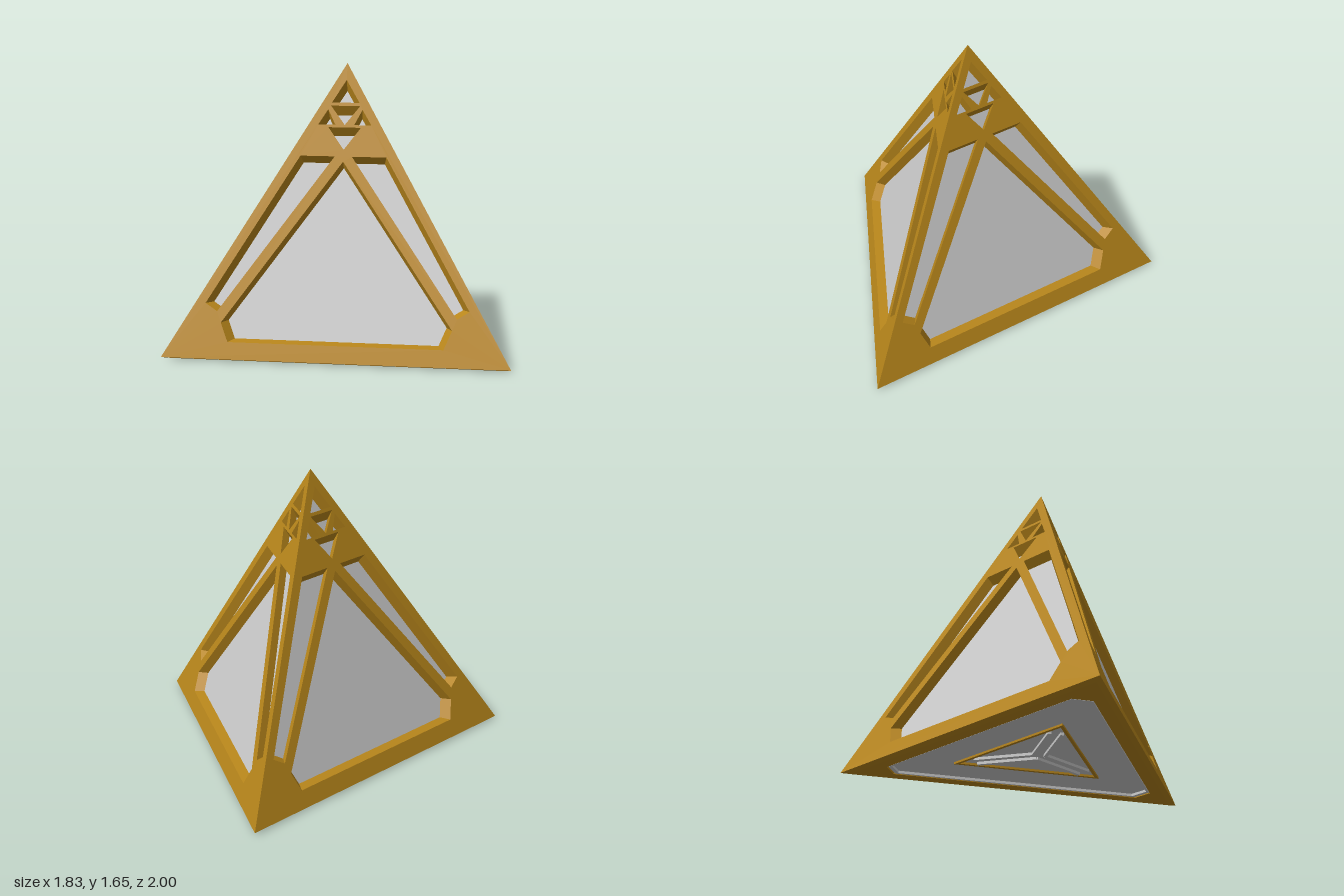
import * as THREE from 'three';
import { ConvexGeometry } from 'three/addons/geometries/ConvexGeometry.js';

const EDGE = 2.009;
const R = EDGE / Math.sqrt(3), H = EDGE * Math.sqrt(2 / 3), SLANT = (EDGE * Math.sqrt(3)) / 2;
const LIP = 0.012, DEPTH = 0.05, FLOOR = -0.005;
const MID = SLANT / 3; // height of a face's centre above its lower edge
const CX = -0.24, CZ = -0.057;

const gold = new THREE.MeshStandardMaterial({ color: 0xb8861b });
const grey = new THREE.MeshStandardMaterial({ color: 0xcccccc });

const corner = (deg) => {
  const a = THREE.MathUtils.degToRad(deg);
  return new THREE.Vector3(CX + R * Math.cos(a), LIP, CZ + R * Math.sin(a));
};
const A = corner(-5.5), B = corner(-125.5), C = corner(114.5);
const APEX = new THREE.Vector3(CX, LIP + H, CZ);

const toPoints = (list) => list.map(([x, y]) => new THREE.Vector2(x, y));
const mirror = (list) => list.map(([x, y]) => [-x, y]).reverse();
const scaled = (list, s) => list.map(([x, y]) => [x * s, MID + (y - MID) * s]);
const TRIANGLE = [[-EDGE / 2, 0], [EDGE / 2, 0], [0, SLANT]];

// Openings of a side face: main window, two slim windows, small triangles at the top
const slim = [[0.69, 0.275], [0.76, 0.32], [0.25, 1.19], [0.05, 1.19]];
const small = [[0.055, 1.375], [0.155, 1.375], [0.1, 1.465]];
const sideHoles = [
  [[-0.62, 0.1], [0.62, 0.1], [0.665, 0.21], [0, 1.16], [-0.665, 0.21]],
  slim, mirror(slim), small, mirror(small),
  [[-0.08, 1.506], [0.08, 1.506], [0, 1.64]],
  [[0, 1.375], [0.085, 1.487], [-0.085, 1.487]],
  [[0, 1.23], [0.095, 1.36], [-0.095, 1.36]],
];

// Opening of the underside: a triangle with its three corners cut off
const baseHole = scaled(TRIANGLE, 0.83).flatMap((p, i, t) =>
  [t[(i + 2) % 3], t[(i + 1) % 3]].map((q) => [p[0] + (q[0] - p[0]) * 0.07, p[1] + (q[1] - p[1]) * 0.07]));

function plate(outline, holes, depth) {
  const shape = new THREE.Shape(toPoints(outline));
  shape.holes = holes.map((h) => new THREE.Path(toPoints(h)));
  return new THREE.ExtrudeGeometry(shape, { depth, bevelEnabled: false });
}

// Triangular frame; corners are scaled at front and back to make mitres, openings taper inwards
function frameGeometry(holes, depth, frontScale, backScale, holeScale) {
  const geo = plate(TRIANGLE, holes, depth).translate(0, 0, -depth);
  const pos = geo.attributes.position;
  for (let i = 0; i < pos.count; i++) {
    const x = pos.getX(i), y = pos.getY(i);
    const front = pos.getZ(i) > -depth / 2;
    const isCorner = Math.hypot(x, y - MID) > R - 0.01;
    const back = isCorner ? backScale : holeScale;
    const s = front ? (isCorner ? frontScale : 1) : back;
    pos.setXY(i, x * s, MID + (y - MID) * s);
  }
  geo.computeVertexNormals();
  return geo;
}

// Group whose x runs along the lower edge, y up the face and z outward
function faceGroup(name, left, right, top) {
  const origin = left.clone().add(right).multiplyScalar(0.5);
  const x = right.clone().sub(left).normalize();
  const y = top.clone().sub(origin).normalize();
  const z = x.clone().cross(y);
  const g = new THREE.Group();
  g.name = name;
  g.quaternion.setFromRotationMatrix(new THREE.Matrix4().makeBasis(x, y, z));
  g.position.copy(origin);
  return g;
}

function addMesh(parent, name, geo, material, z = 0) {
  const m = new THREE.Mesh(geo, material);
  m.name = name;
  m.position.z = z;
  parent.add(m);
}

export function createModel() {
  const model = new THREE.Group();
  model.name = 'tetrahedron';
  const mitre = 1 - (DEPTH * Math.SQRT2) / MID;

  // Three side frames
  const sideGeo = frameGeometry(sideHoles, DEPTH, 1, mitre, 0.945);
  [['frontFace', C, A], ['backFace', A, B], ['rightFace', B, C]].forEach(([name, l, r]) => {
    const face = faceGroup(name, l, r, APEX);
    addMesh(face, name + 'Frame', sideGeo, gold);
    model.add(face);
  });

  // Inner body that forms the recessed panels
  const centre = new THREE.Vector3(CX, LIP + H / 4, CZ);
  const shrink = 1 - (DEPTH - 0.002) / (H / 4);
  const inner = [A, B, C, APEX].map((p) => p.clone().sub(centre).multiplyScalar(shrink).add(centre));
  addMesh(model, 'innerPanels', new ConvexGeometry(inner), grey);

  // Underside: frame, bevelled lip, shallow floor and a thin rim around it
  const base = faceGroup('base', A, C, B);
  addMesh(base, 'baseFrame', frameGeometry([baseHole], DEPTH, 1, mitre, 1), gold);
  addMesh(base, 'baseLip', frameGeometry([baseHole], LIP, 0.95, 1, 1), gold, LIP);
  addMesh(base, 'baseFloor', plate(baseHole, [], 0.03), grey, FLOOR - 0.03);
  addMesh(base, 'baseRim', plate(scaled(baseHole, 0.99), [scaled(baseHole, 0.965)], 0.015), grey, FLOOR);

  // Raised triangular ring and three pairs of ribs on the underside
  addMesh(base, 'baseRing', plate(scaled(TRIANGLE, 0.42), [scaled(TRIANGLE, 0.39)], 0.012), gold, FLOOR);
  for (let i = 0; i < 3; i++) {
    for (const side of [-1, 1]) {
      const rib = new THREE.BoxGeometry(0.02, 0.34, 0.016);
      rib.translate(side * 0.035, 0.19, 0).rotateZ((i * 2 * Math.PI) / 3).translate(0, MID, 0.008);
      addMesh(base, 'baseRib', rib, grey, FLOOR);
    }
  }
  model.add(base);
  return model;
}
